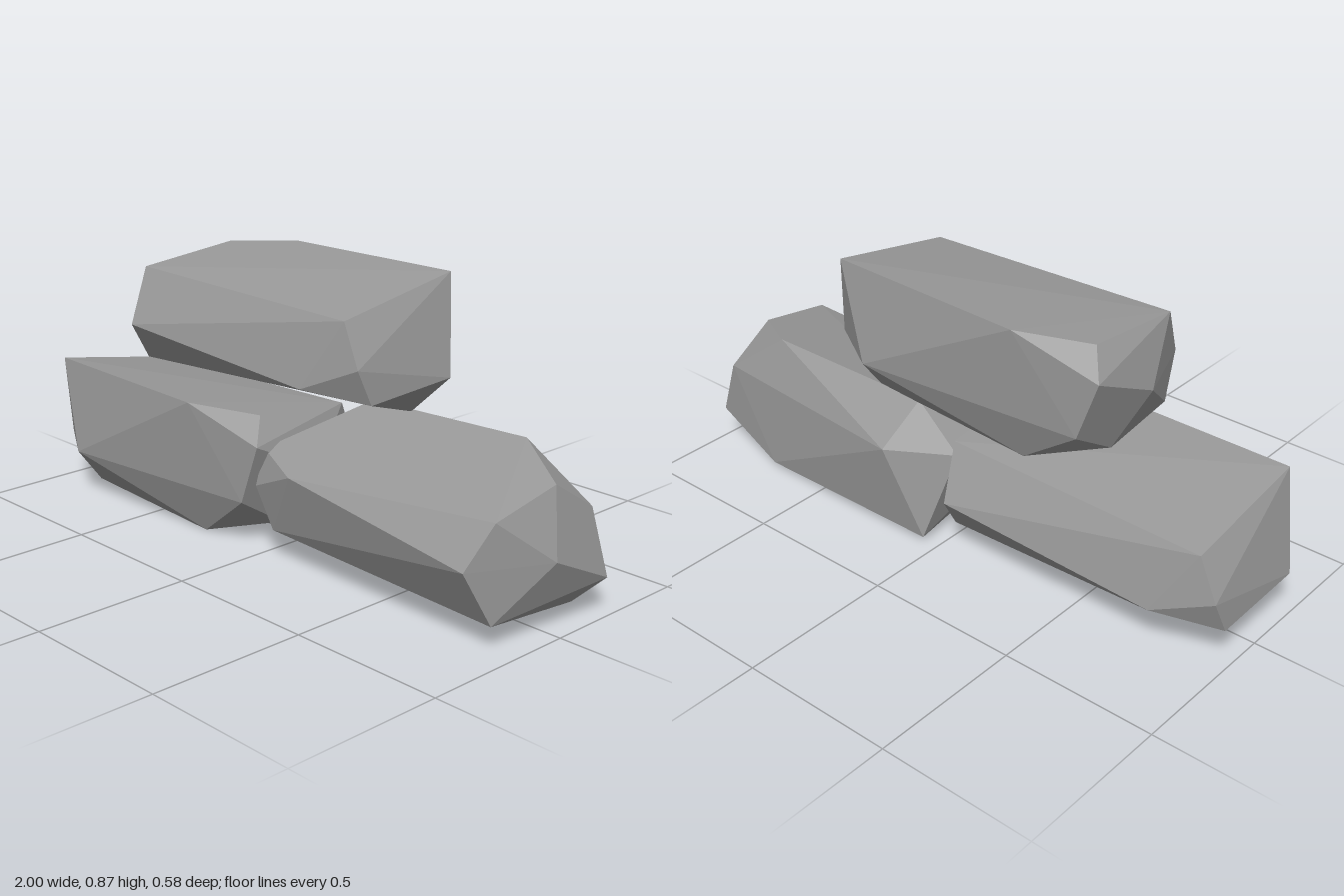
import * as THREE from 'three';
import { ConvexGeometry } from 'three/addons/geometries/ConvexGeometry.js';

// Corners of one chiselled stone, in the position of the top stone
const CORNERS = [
  // blunt end (+x)
  [0.36, 0.872, -0.242], [0.355, 0.795, 0.19], [0.42, 0.667, 0.2],
  [0.43, 0.56, 0.155], [0.437, 0.58, -0.165],
  // sides and underside
  [0.23, 0.583, 0.243], [0.24, 0.58, -0.287], [0.285, 0.443, -0.165],
  [-0.298, 0.428, -0.185], [-0.3, 0.864, -0.252],
  // faceted end (-x)
  [-0.51, 0.48, -0.053], [-0.51, 0.585, -0.22], [-0.515, 0.522, 0.2],
  [-0.483, 0.648, 0.288], [-0.513, 0.815, 0.203], [-0.512, 0.848, -0.143],
  [-0.577, 0.776, -0.215], [-0.587, 0.66, 0.028],
];

export function createModel() {
  const group = new THREE.Group();
  group.name = 'stonePile';

  const stone = new THREE.MeshStandardMaterial({ color: 0x999999, flatShading: true });
  stone.name = 'grey stone';

  const geometry = new ConvexGeometry(CORNERS.map((c) => new THREE.Vector3(...c)));

  // The same stone laid three times, turned half round for variety
  const addStone = (name, position, rotation) => {
    const mesh = new THREE.Mesh(geometry, stone);
    mesh.name = name;
    mesh.position.set(...position);
    mesh.rotation.set(...rotation);
    group.add(mesh);
  };
  addStone('topStone', [0, 0, 0], [0, 0, 0]);
  addStone('lowerRightStone', [-0.562, -0.428, 0], [0, Math.PI, 0]);
  addStone('lowerLeftStone', [0.412, 0.887, 0], [0, 0, Math.PI]);

  return group;
}
